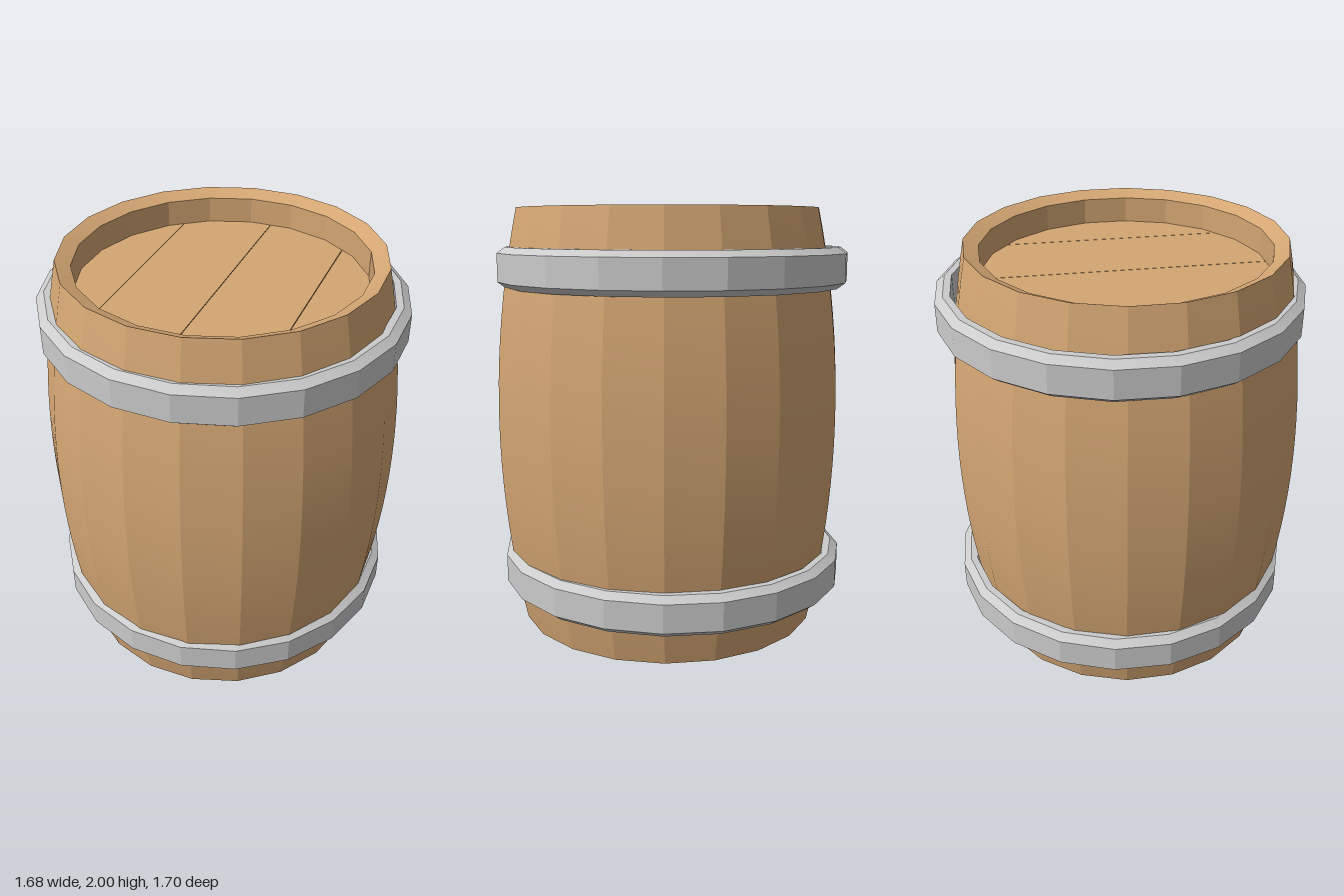
import * as THREE from 'three';
import { toCreasedNormals } from 'three/addons/utils/BufferGeometryUtils.js';

const SIDES = 20;
const deg = THREE.MathUtils.degToRad;
const wood = new THREE.MeshStandardMaterial({ color: 0xd4a673 });
const metal = new THREE.MeshStandardMaterial({ color: 0xcccccc });

// Closed profile of [radius, y] pairs turned into a faceted ring
function ring(points, phiStart, crease) {
  const profile = points.map(([r, y]) => new THREE.Vector2(r, y));
  profile.push(profile[0].clone());
  return toCreasedNormals(new THREE.LatheGeometry(profile, SIDES, phiStart), deg(crease));
}

function addMesh(parent, name, geometry, material) {
  const mesh = new THREE.Mesh(geometry, material);
  mesh.name = name;
  parent.add(mesh);
  return mesh;
}

// One board of a round head, between two parallel cuts u0 and u1
function headBoard(u0, u1, radius, thickness) {
  const steps = 8, upper = [], lower = [];
  for (let i = 0; i <= steps; i++) {
    const u = THREE.MathUtils.lerp(u0, u1, i / steps);
    const w = Math.sqrt(Math.max(0, radius * radius - u * u));
    lower.push(new THREE.Vector2(u, -w - 0.001));
    upper.unshift(new THREE.Vector2(u, w + 0.001));
  }
  const shape = new THREE.Shape([...lower, ...upper]);
  const geometry = new THREE.ExtrudeGeometry(shape, { depth: thickness, bevelEnabled: false });
  return geometry.rotateX(-Math.PI / 2);
}

function createHead(name, y) {
  const head = new THREE.Group();
  head.name = name;
  const radius = 0.68, thickness = 0.05, gap = 0.0015;
  const cuts = [-radius, -0.405, 0, 0.405, radius];
  for (let i = 0; i < 4; i++) {
    const board = headBoard(cuts[i] + gap, cuts[i + 1] - gap, radius, thickness);
    addMesh(head, 'headBoard', board.translate(0, -thickness / 2, 0), wood);
  }
  // thin core that closes the slits between the boards
  addMesh(head, 'headCore', new THREE.CylinderGeometry(radius, radius, 0.03, SIDES), wood);
  head.position.y = y;
  head.rotation.y = deg(-25);
  return head;
}

export function createModel() {
  const model = new THREE.Group();
  model.name = 'barrel';

  // Wooden body: bulging staves, rims sloping inwards, straight inner wall
  const body = new THREE.Group();
  body.name = 'body';
  body.position.set(-0.005, 0, 0.016);
  const staves = [];
  const rows = 20;
  for (let i = 0; i <= rows; i++) {
    const t = (i / rows) * 2 - 1;
    staves.push([0.8375 - 0.1105 * t * t, 1 + t]);
  }
  staves.push([0.66, 1.97], [0.66, 0.03]);
  addMesh(body, 'staves', ring(staves, deg(2), 12), wood);
  body.add(createHead('bottomHead', 0.175), createHead('topHead', 1.825));
  model.add(body);

  // Bevelled metal hoops
  const section = [
    [0.77, -0.094], [0.803, -0.094], [0.84, -0.066],
    [0.84, 0.066], [0.803, 0.094], [0.77, 0.094],
  ];
  for (const [name, y] of [['lowerHoop', 0.266], ['upperHoop', 1.726]]) {
    const hoop = addMesh(model, name, ring(section, 0, 12), metal);
    hoop.position.set(0.002, y, -0.012);
  }
  return model;
}
